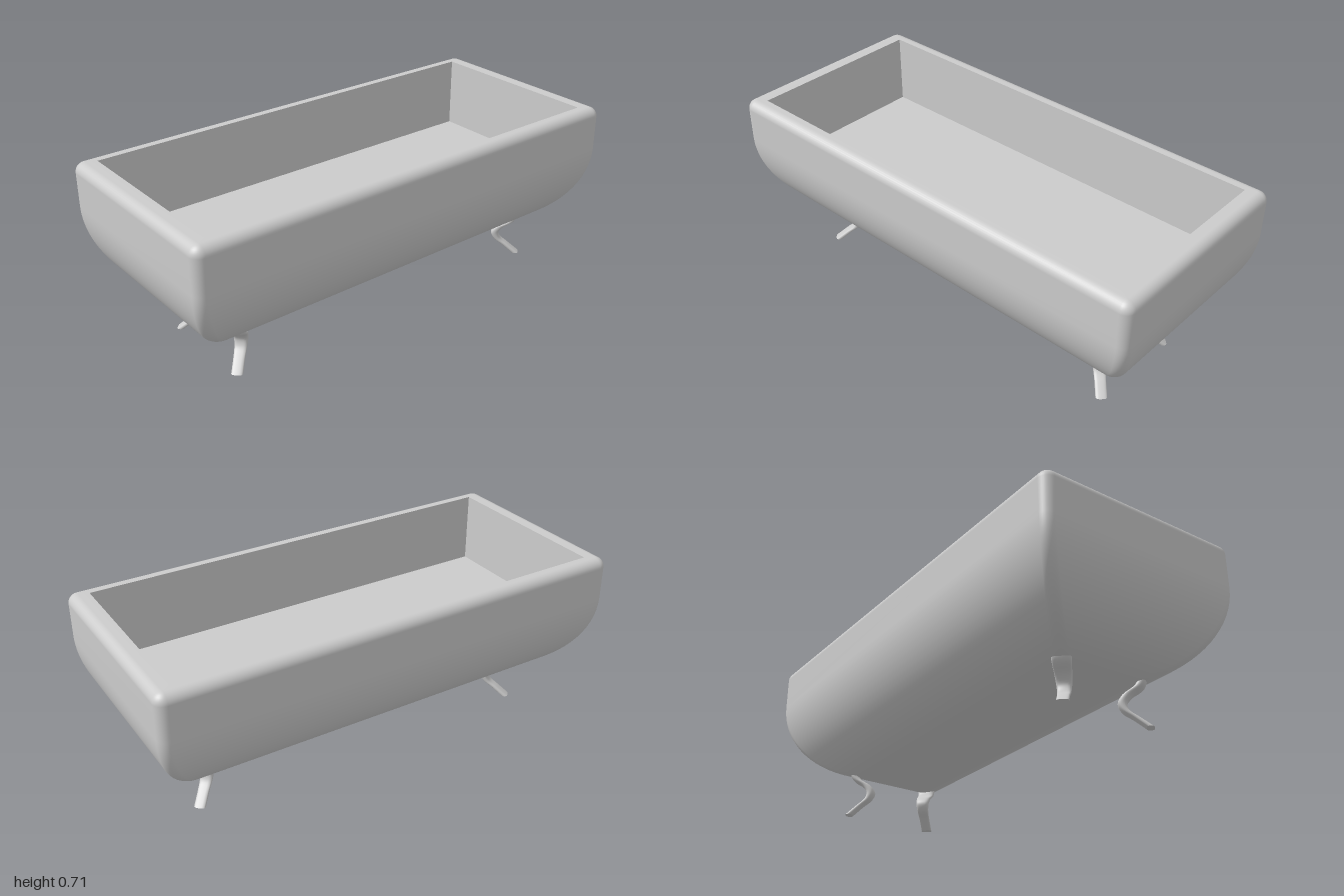
import * as THREE from 'three';

const material = new THREE.MeshStandardMaterial({ color: 0xcccccc });

// Joins closed rings of points (running +x towards +z, bottom to top outside) into a skin.
function loft(rings, flat = false) {
  const n = rings[0].length;
  const index = [];
  for (let i = 0; i < rings.length - 1; i++) {
    for (let j = 0; j < n; j++) {
      const a = i * n + j, b = i * n + (j + 1) % n;
      index.push(a, a + n, b, b, a + n, b + n);
    }
  }
  let geometry = new THREE.BufferGeometry();
  geometry.setAttribute('position', new THREE.Float32BufferAttribute(rings.flat(2), 3));
  geometry.setIndex(index);
  if (flat) geometry = geometry.toNonIndexed();
  geometry.computeVertexNormals();
  return geometry;
}

// Horizontal rectangle with rounded corners, given half sizes.
function roundedRing(hx, hz, r, y, steps = 8) {
  const points = [];
  const signs = [[1, 1], [-1, 1], [-1, -1], [1, -1]];
  signs.forEach(([sx, sz], corner) => {
    for (let k = 0; k <= steps; k++) {
      const t = (corner + k / steps) * Math.PI / 2;
      points.push([sx * (hx - r) + r * Math.cos(t), y, sz * (hz - r) + r * Math.sin(t)]);
    }
  });
  return points;
}

function part(name, geometry) {
  const mesh = new THREE.Mesh(geometry, material);
  mesh.name = name;
  return mesh;
}

const HX = 1, HZ = 0.447, TOP = 0.715, BASE = 0.167;
const INNER_X = 0.92, INNER_Z = 0.385, FLOOR = 0.41;

// Outer shell: flat underside, elliptical belly, straight sides and a rounded rim.
function shellGeometry() {
  const bend = 0.53, inset = 0.32, rim = 0.04;
  const rings = [roundedRing(0, 0, 0, BASE), roundedRing(HX - inset - 0.01, HZ - inset - 0.01, 0.04, BASE)];
  for (let i = 0; i <= 20; i++) {
    const t = (1 - i / 20) * Math.PI / 2;
    const d = inset * (1 - Math.cos(t));
    rings.push(roundedRing(HX - d, HZ - d, 0.04, bend - (bend - BASE) * Math.sin(t)));
  }
  for (let i = 0; i <= 8; i++) {
    const t = i / 8 * Math.PI / 2;
    const d = rim * (1 - Math.cos(t));
    rings.push(roundedRing(HX - d, HZ - d, 0.042 - d, TOP - rim + rim * Math.sin(t)));
  }
  rings.push(roundedRing(INNER_X, INNER_Z, 0, TOP));
  return loft(rings);
}

// Square-cornered basin: vertical walls and a flat floor.
function basinGeometry() {
  return loft([
    roundedRing(INNER_X, INNER_Z, 0, TOP, 1),
    roundedRing(INNER_X, INNER_Z, 0, FLOOR, 1),
    roundedRing(0, 0, 0, FLOOR, 1),
  ], true);
}

// S-curved leg built outwards along +x: [outward offset, height, width, depth].
function legGeometry() {
  const sections = [
    [0.0, 0, 0.046, 0.03], [-0.048, 0.04, 0.046, 0.028], [-0.085, 0.07, 0.05, 0.03],
    [-0.096, 0.1, 0.056, 0.035], [-0.078, 0.13, 0.062, 0.038],
    [-0.03, 0.165, 0.072, 0.036], [-0.012, 0.215, 0.08, 0.034],
  ];
  const path = new THREE.CatmullRomCurve3(sections.map(([d, y]) => new THREE.Vector3(d, y, 0)));
  const sizes = new THREE.CatmullRomCurve3(sections.map(([, , w, t]) => new THREE.Vector3(w, t, 0)));
  const steps = 30, rings = [];
  for (let i = 0; i <= steps; i++) {
    const p = path.getPoint(i / steps), s = sizes.getPoint(i / steps);
    const y = Math.max(p.y, 0);
    const ring = [];
    for (let k = 0; k < 20; k++) {
      const a = k / 20 * Math.PI * 2, c = Math.cos(a), q = Math.sin(a);
      // Slightly squared oval
      ring.push([
        p.x + s.y / 2 * Math.sign(c) * Math.abs(c) ** 0.7, y,
        s.x / 2 * Math.sign(q) * Math.abs(q) ** 0.7,
      ]);
    }
    // The sole is doubled so that its edge stays sharp
    if (i === 0) rings.push(ring.map(() => [p.x, 0, 0]), ring.map(v => [...v]));
    rings.push(ring);
  }
  return loft(rings);
}

export function createModel() {
  const group = new THREE.Group();
  group.name = 'bathtub';
  group.add(part('tubShell', shellGeometry()), part('basin', basinGeometry()));

  // Four legs splayed diagonally, set slightly off centre under the tub
  const leg = legGeometry();
  for (const sx of [1, -1]) {
    for (const sz of [1, -1]) {
      const mesh = part(`${sz > 0 ? 'front' : 'back'}${sx > 0 ? 'Left' : 'Right'}Leg`, leg);
      mesh.position.set(0.02 + sx * 0.755, 0, 0.02 + sz * 0.205);
      mesh.rotation.y = Math.atan2(-sz, sx);
      group.add(mesh);
    }
  }
  return group;
}
